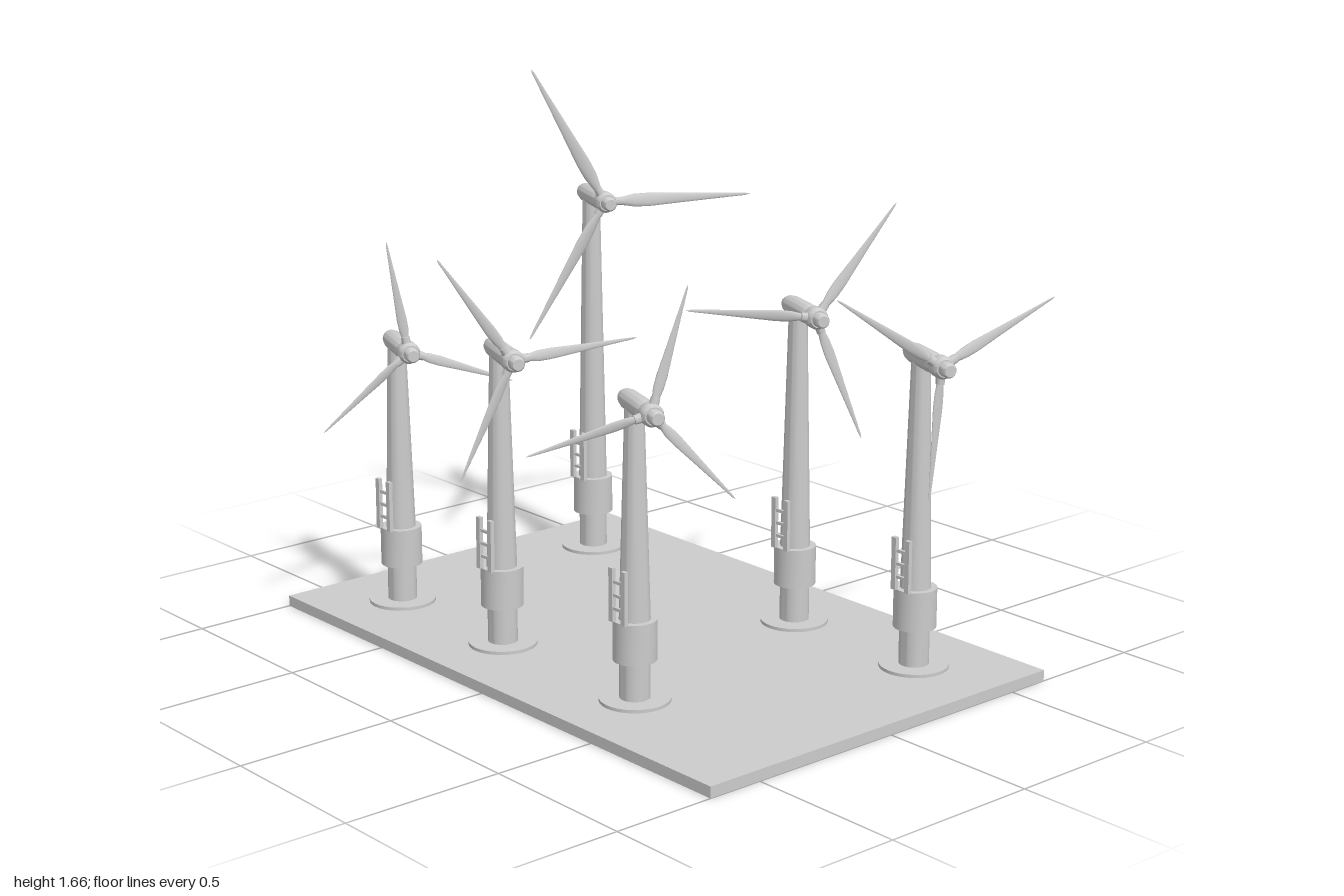
import * as THREE from 'three';
import { toCreasedNormals } from 'three/addons/utils/BufferGeometryUtils.js';

const grey = new THREE.MeshStandardMaterial({ color: 0xcccccc });
const YAW = -0.342; // rotor axis: mostly +x, turned a little to +z

function add(parent, name, geometry, x = 0, y = 0, z = 0) {
  const mesh = new THREE.Mesh(geometry, grey);
  mesh.name = name;
  mesh.position.set(x, y, z);
  parent.add(mesh);
  return mesh;
}

const cylinder = (top, bottom, height, sides = 32) =>
  toCreasedNormals(new THREE.CylinderGeometry(top, bottom, height, sides), 0.7);

// Solid of revolution around +x, from [x, radius] points
function latheX(points) {
  const g = new THREE.LatheGeometry(points.map(([x, r]) => new THREE.Vector2(r, x)), 28);
  return toCreasedNormals(g.rotateZ(-Math.PI / 2), 0.7);
}

// Blade along +y: elliptical sections [span, half chord, half thickness, twist]
function bladeGeometry(length) {
  const sections = [
    [0.03, 0.022, 0.020, 0.25], [0.10, 0.024, 0.018, 0.25], [0.20, 0.041, 0.015, 0.22],
    [0.30, 0.043, 0.012, 0.18], [0.50, 0.032, 0.009, 0.12], [0.75, 0.019, 0.006, 0.06],
    [0.97, 0.008, 0.003, 0.0], [1.0, 0.002, 0.001, 0.0],
  ];
  const sides = 12, positions = [], index = [];
  sections.forEach(([span, chord, thick, twist], i) => {
    for (let j = 0; j < sides; j++) {
      const a = (j / sides) * Math.PI * 2;
      const c = Math.cos(a) * chord, t = Math.sin(a) * thick;
      positions.push(
        length * (t * Math.cos(twist) - c * Math.sin(twist)),
        length * span,
        length * (c * Math.cos(twist) + t * Math.sin(twist)));
      if (i === 0) continue;
      const k = (j + 1) % sides, p = (i - 1) * sides, q = i * sides;
      index.push(p + j, p + k, q + j, p + k, q + k, q + j);
    }
  });
  // Close the tip
  const last = (sections.length - 1) * sides;
  for (let j = 1; j < sides - 1; j++) index.push(last, last + j, last + j + 1);
  // Wind faces outward
  const [ax, ay, az] = [0, 1, 2].map((n) => new THREE.Vector3().fromArray(positions, index[n] * 3));
  const normal = ay.clone().sub(ax).cross(az.clone().sub(ax));
  const outward = new THREE.Vector3(ax.x + ay.x, 0, ax.z + ay.z);
  if (normal.dot(outward) < 0) {
    for (let n = 0; n < index.length; n += 3) [index[n], index[n + 1]] = [index[n + 1], index[n]];
  }
  const g = new THREE.BufferGeometry();
  g.setAttribute('position', new THREE.Float32BufferAttribute(positions, 3));
  g.setIndex(index);
  g.computeVertexNormals();
  return g;
}

function ladder() {
  const group = new THREE.Group();
  group.name = 'ladder';
  for (const side of [-1, 1]) {
    add(group, 'ladderRail', new THREE.BoxGeometry(0.017, 0.16, 0.013), side * 0.027, 0.36, 0.061);
  }
  for (const y of [0.32, 0.36, 0.4]) {
    add(group, 'ladderRung', new THREE.BoxGeometry(0.04, 0.009, 0.008), 0, y, 0.06);
  }
  return group;
}

// Turbine with its rotor axis at the given height; angle in degrees from horizontal
function turbine(x, z, height, bladeLength, angle) {
  const group = new THREE.Group();
  group.name = 'turbine';
  group.position.set(x, 0, z);

  add(group, 'footing', cylinder(0.104, 0.104, 0.012), 0, 0.038, 0);
  add(group, 'lowerColumn', cylinder(0.045, 0.045, 0.14), 0, 0.105, 0);
  add(group, 'collar', cylinder(0.064, 0.064, 0.122), 0, 0.22, 0);
  const towerHeight = height - 0.27;
  add(group, 'tower', cylinder(0.028, 0.046, towerHeight), 0, 0.27 + towerHeight / 2, 0);
  group.add(ladder());

  // Head: nacelle, hub and rotor, pointing along local +x
  const head = new THREE.Group();
  head.name = 'head';
  head.position.y = height;
  head.rotation.y = YAW;
  group.add(head);
  add(head, 'nacelle', latheX([
    [-0.095, 0], [-0.092, 0.01], [-0.082, 0.019], [-0.064, 0.026], [-0.04, 0.03],
    [0.07, 0.031], [0.095, 0.027], [0.108, 0.022], [0.108, 0],
  ]));
  add(head, 'hub', latheX([
    [0.103, 0], [0.103, 0.026], [0.112, 0.033], [0.143, 0.033], [0.152, 0.026], [0.152, 0],
  ]));
  add(head, 'hubCap', latheX([
    [0.148, 0], [0.148, 0.022], [0.178, 0.022], [0.185, 0.017], [0.185, 0],
  ]));

  const rotor = new THREE.Group();
  rotor.name = 'rotor';
  rotor.position.x = 0.128;
  head.add(rotor);
  const blade = bladeGeometry(bladeLength);
  for (let i = 0; i < 3; i++) {
    const arm = new THREE.Group();
    arm.name = 'bladeArm';
    arm.rotation.x = THREE.MathUtils.degToRad(angle - 90 + i * 120);
    add(arm, 'bladeRoot', cylinder(0.013, 0.015, 0.03, 16), 0, 0.035, 0);
    add(arm, 'blade', blade);
    rotor.add(arm);
  }
  return group;
}

export function createModel() {
  const model = new THREE.Group();
  model.name = 'windFarm';
  add(model, 'basePlate', new THREE.BoxGeometry(2, 0.034, 1.315), 0, 0.017, 0.02);

  // x, z, axis height, blade length, blade angle
  const turbines = [
    [-0.762, -0.374, 1.225, 0.5, -1],
    [0.211, -0.374, 1.025, 0.415, 52],
    [0.723, -0.374, 0.977, 0.395, 26],
    [-0.734, 0.427, 0.87, 0.352, -20],
    [-0.219, 0.427, 0.946, 0.385, 5],
    [0.396, 0.427, 0.915, 0.37, 73],
  ];
  for (const t of turbines) model.add(turbine(...t));
  return model;
}
